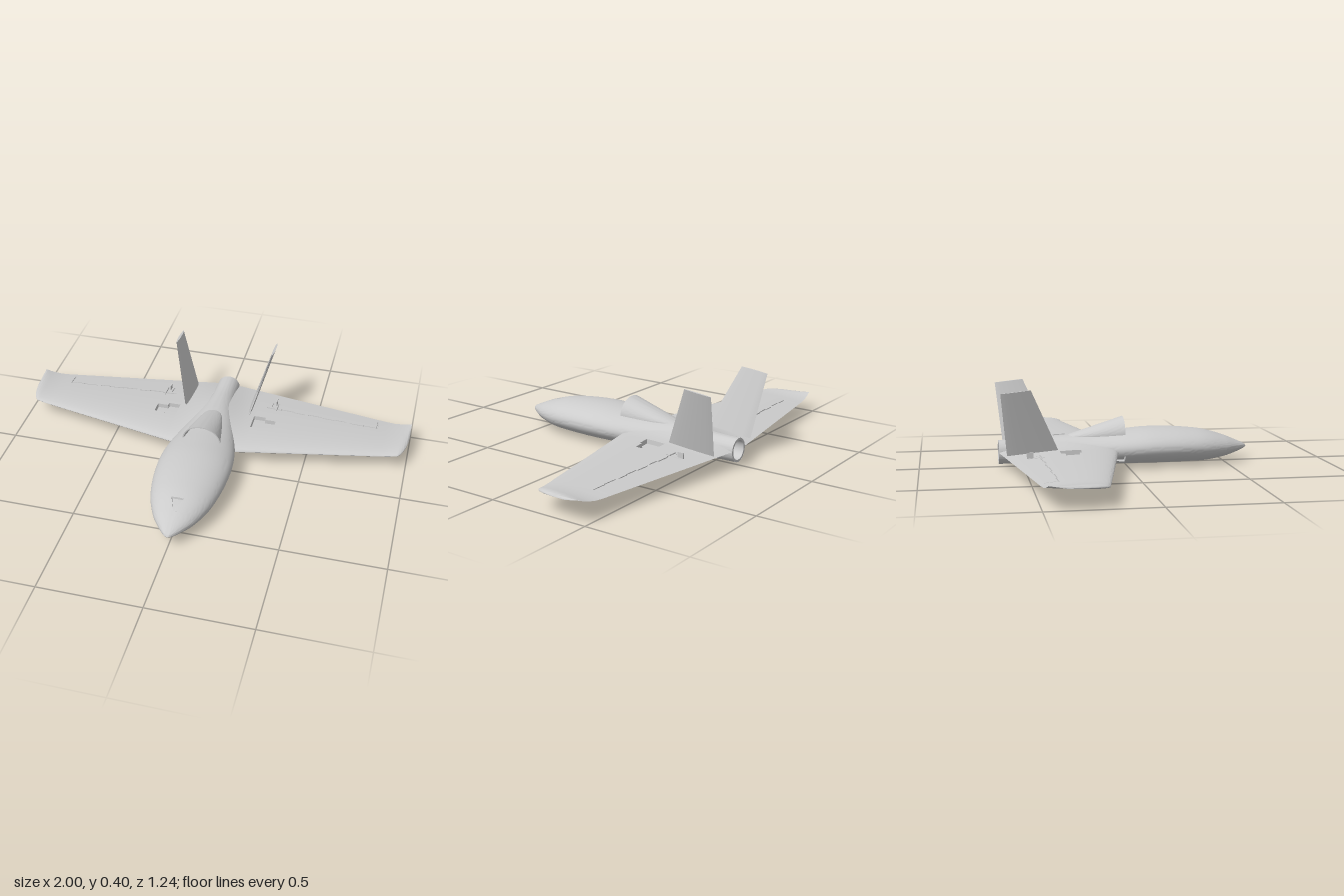
import * as THREE from 'three';
import { toCreasedNormals } from 'three/addons/utils/BufferGeometryUtils.js';

const mat = new THREE.MeshStandardMaterial({ color: 0xcccccc, side: THREE.DoubleSide });
const clamp = THREE.MathUtils.clamp;

function add(parent, geo, name) {
  const m = new THREE.Mesh(geo, mat);
  m.name = name;
  parent.add(m);
  return m;
}

// Surface over a us x vs grid; fn(u, v) returns [x, y, z]
function gridSurface(us, vs, fn, flip, crease = 0.6) {
  const pos = [], idx = [], n = vs.length;
  for (const u of us) for (const v of vs) pos.push(...fn(u, v));
  for (let i = 0; i < us.length - 1; i++) for (let j = 0; j < n - 1; j++) {
    const a = i * n + j, b = a + n, c = b + 1, d = a + 1;
    if (flip) idx.push(a, d, b, b, d, c);
    else idx.push(a, b, d, b, c, d);
  }
  const g = new THREE.BufferGeometry();
  g.setAttribute('position', new THREE.Float32BufferAttribute(pos, 3));
  g.setIndex(idx);
  return toCreasedNormals(g, crease);
}

const range = (a, b, n) => Array.from({ length: n + 1 }, (_, i) => a + (b - a) * i / n);
const sorted = (list) => [...new Set(list.map((v) => +v.toFixed(5)))].sort((a, b) => a - b);
const EPS = 0.0008;
const edges = (...vals) => vals.flatMap((v) => [v - EPS, v + EPS]);

// Fuselage stations: z, half width, top, bottom
const STATIONS = [
  [0.62, 0, 0.071, 0.071], [0.61, 0.018, 0.082, 0.061], [0.56, 0.06, 0.105, 0.042], [0.5, 0.1, 0.13, 0.024],
  [0.4, 0.143, 0.159, 0.008], [0.3, 0.166, 0.172, 0.005], [0.2, 0.178, 0.178, 0.004], [0.1, 0.181, 0.178, 0.004],
  [0, 0.172, 0.17, 0.005], [-0.1, 0.152, 0.16, 0.006], [-0.2, 0.126, 0.153, 0.008], [-0.3, 0.1, 0.149, 0.01],
  [-0.4, 0.078, 0.142, 0.012], [-0.5, 0.063, 0.134, 0.014], [-0.62, 0.058, 0.131, 0.015],
];

// Smooth interpolation of one station column at z
function station(z, col) {
  const S = STATIONS, last = S.length - 1;
  let i = 0;
  while (i < last - 1 && z < S[i + 1][0]) i++;
  const slope = (k) => {
    const a = S[Math.max(k - 1, 0)], b = S[Math.min(k + 1, last)];
    return (b[col] - a[col]) / (b[0] - a[0]);
  };
  const h = S[i + 1][0] - S[i][0], t = clamp((z - S[i][0]) / h, 0, 1), t2 = t * t, t3 = t2 * t;
  return (2 * t3 - 3 * t2 + 1) * S[i][col] + (t3 - 2 * t2 + t) * h * slope(i)
    + (3 * t2 - 2 * t3) * S[i + 1][col] + (t3 - t2) * h * slope(i + 1);
}

// Triangular recesses: centre angle from the top, half angle, pointed end z, wide end z
const VENTS = [[0, 0.23, 0.5, 0.43], [2.13, 0.24, -0.125, -0.02], [-2.13, 0.24, -0.125, -0.02]];

function fuselagePoint(z, angle) {
  let a = angle, depth = 1;
  for (const [c, h, zPoint, zWide] of VENTS) {
    const s = (z - zPoint) / (zWide - zPoint), off = angle - c;
    if (s < 0 || s > 1 || Math.abs(off) > 0.4) continue;
    const w = h * (0.12 + 0.88 * s);
    // columns are squeezed so that the recess edge follows the triangle
    if (Math.abs(off) <= h) { a = c + off * w / h; depth = 1 - 0.14 * (0.35 + 0.65 * s); }
    else a = c + Math.sign(off) * (w + (Math.abs(off) - h) * (0.4 - w) / (0.4 - h));
  }
  const top = station(z, 2), bottom = station(z, 3), mid = (top + bottom) / 2;
  return [Math.max(station(z, 1), 0) * Math.sin(a) * depth, mid + (top - mid) * Math.cos(a) * depth, z];
}

function buildFuselage() {
  const g = new THREE.Group();
  g.name = 'fuselage';
  const zs = sorted([...range(-0.62, 0.62, 80), 0.616, 0.612, 0.618,
    ...VENTS.flatMap(([, , a, b]) => edges(a, b))]).filter((z) => z <= 0.62 && z >= -0.62).reverse();
  const angles = sorted([...range(-Math.PI, Math.PI, 64),
    ...VENTS.flatMap(([c, h]) => edges(c - h, c + h))]);
  add(g, gridSurface(zs, angles, fuselagePoint, true), 'body');
  // hollow exhaust
  add(g, new THREE.RingGeometry(0.047, 0.058, 40), 'exhaustRim').position.set(0, 0.073, -0.62);
  const duct = add(g, new THREE.CylinderGeometry(0.047, 0.047, 0.3, 40, 1, true), 'exhaustDuct');
  duct.rotation.x = Math.PI / 2;
  duct.position.set(0, 0.073, -0.47);
  add(g, new THREE.CircleGeometry(0.047, 40), 'exhaustEnd').position.set(0, 0.073, -0.32);
  // belly hatch
  const hatch = add(g, new THREE.CylinderGeometry(0.1, 0.09, 0.02, 40), 'bellyHatch');
  hatch.scale.x = 0.45;
  hatch.position.set(0, 0.01, -0.36);
  return g;
}

// Air intake scoop: a thin half shell, inner skin then outer skin
function buildIntake() {
  const us = [...range(-1, -EPS, 24), ...range(EPS, 1, 24)];
  return gridSurface(us, range(-Math.PI / 2, Math.PI / 2, 32), (u, v) => {
    const s = Math.abs(u), k = u < 0 ? 0.94 : 1;
    const w = 0.097 * (1 - 0.55 * s) * Math.sqrt(1 - Math.pow(s, 6));
    const base = 0.15 - 0.012 * s, top = 0.235 - 0.095 * s;
    return [w * k * Math.sin(v), base + (top - base) * k * Math.cos(v), -0.01 - 0.3 * s];
  }, true);
}

// Wing recesses: x from, x to, chord fraction from, to, depth
const BAYS = [[0.2, 0.26, 0.33, 0.52, 0.022], [0.26, 0.315, 0.35, 0.48, 0.022]];
const HINGE = range(0.25, 0.83, 8).slice(0, 8).map((x, i) =>
  [x, x + (i % 3 === 2 ? 0.055 : 0.0725), i % 2 ? 0.716 : 0.704, i % 2 ? 0.73 : 0.718, 0.006]);
const SLITS = [[0.826, 0.832, 0.71, 0.92, 0.004], [0.3, 0.306, 0.68, 0.83, 0.006], [0.27, 0.276, 0.74, 0.83, 0.005]];
const TOP_CUTS = [...BAYS, ...HINGE, ...SLITS];

function wingPoint(x, v) {
  const upper = v <= 1, f = upper ? v : 2 - v;
  const tip = clamp((x - 0.95) / 0.05, 0, 1);
  const lead = -0.06 - 0.205 * (x - 0.18) - 0.17 * (1 - Math.sqrt(1 - tip * tip));
  const trail = -0.62 + 0.154 * (x - 0.06);
  const chord = lead - trail;
  const shape = (1.48 * Math.sqrt(f) - 0.63 * f - 1.758 * f * f + 1.42 * f ** 3 - 0.512 * f ** 4) * 2;
  const close = Math.sqrt(1 - tip * tip);
  const curl = Math.pow(clamp((x - 0.88) / 0.12, 0, 1), 2) * (0.012 + 0.014 * f);
  const root = Math.pow(clamp((0.2 - x) / 0.14, 0, 1), 2) * 0.025 * Math.sin(Math.PI * f);
  let y = 0.078 + curl + (upper ? 0.054 * chord * shape * close + root : -0.03 * chord * shape * close);
  for (const [x0, x1, f0, f1, d] of upper ? TOP_CUTS : HINGE) {
    if (x > x0 && x < x1 && f > f0 && f < f1) { y += upper ? -d : d * 0.5; break; }
  }
  return [x, y, lead - f * chord];
}

function buildWing(side) {
  const xs = sorted([...range(0.055, 0.95, 24), ...range(0.95, 1, 14), 0.998, 0.9995,
    ...TOP_CUTS.flatMap(([a, b]) => edges(a, b))]);
  const half = sorted([...range(0, 1, 24).map((t) => t * t), ...range(0.3, 1, 12),
    ...TOP_CUTS.flatMap(([, , a, b]) => edges(a, b))]);
  const vs = [...half, ...half.slice(0, -1).reverse().map((f) => 2 - f)];
  return gridSurface(xs, vs, (x, v) => {
    const [px, y, z] = wingPoint(x, v);
    return [px * side, y, z];
  }, side < 0);
}

// Outward-leaning tail fin; u = 0 root, 1 tip, 2 tip cap
function buildFin(side) {
  return gridSurface([0, 1, 2], range(0, 2, 24), (u, v) => {
    const h = Math.min(u, 1), f = v <= 1 ? v : 2 - v, out = v <= 1 ? 1 : -1;
    const lead = -0.335 - 0.145 * h, trail = -0.588 - 0.032 * h;
    const t = u > 1 ? 0 : (0.009 - 0.003 * h) * Math.sqrt(Math.sin(Math.PI * Math.min(f + 0.02 * (1 - f), 1)) + 0.02);
    const y = 0.078 + 0.322 * h - 0.015 * f * h;
    return [side * (0.163 + 0.09 * h + out * t), y, lead + (trail - lead) * f];
  }, side > 0, 0.5);
}

export function createModel() {
  const model = new THREE.Group();
  model.name = 'jetAircraft';
  model.add(buildFuselage());
  add(model, buildIntake(), 'intakeScoop');
  for (const [side, name] of [[1, 'left'], [-1, 'right']]) {
    add(model, buildWing(side), name + 'Wing');
    add(model, buildFin(side), name + 'TailFin');
    // control horn ahead of the trailing edge
    add(model, new THREE.BoxGeometry(0.006, 0.03, 0.03), name + 'ControlHorn').position.set(side * 0.29, 0.1, -0.49);
  }
  return model;
}
